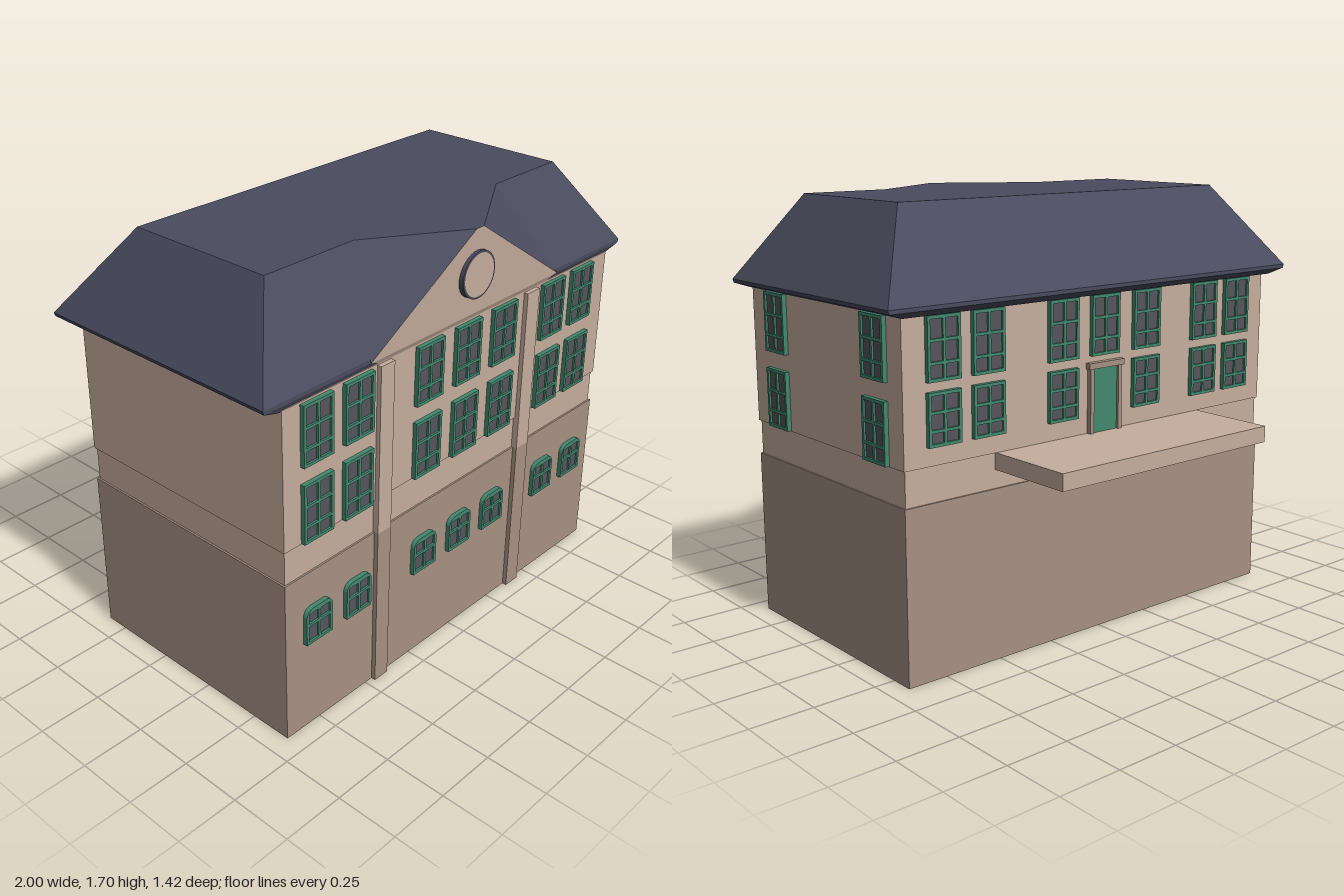
import * as THREE from 'three';

const paint = (color, side = THREE.FrontSide) =>
  new THREE.MeshStandardMaterial({ color, side });

export function createModel() {
  const model = new THREE.Group();
  const plaster = paint(0xc6ae9e, THREE.DoubleSide);
  const stone = paint(0xa69184);
  const slate = paint(0x4a4b5e, THREE.DoubleSide);
  const green = paint(0x43886f);
  const glass = paint(0x55555a);
  const FRONT = 0.67, BACK = -0.345, SIDE = 0.917;

  const add = (name, geometry, material, parent = model) => {
    const mesh = new THREE.Mesh(geometry, material);
    mesh.name = name;
    parent.add(mesh);
    return mesh;
  };
  // Box given by its limits on each axis
  const block = (name, x0, x1, y0, y1, z0, z1, material, parent) => {
    const mesh = add(name, new THREE.BoxGeometry(x1 - x0, y1 - y0, z1 - z0), material, parent);
    mesh.position.set((x0 + x1) / 2, (y0 + y1) / 2, (z0 + z1) / 2);
    return mesh;
  };
  // Flat-shaded faces, each a convex polygon fanned into triangles
  const facets = (polygons) => {
    const pos = [];
    for (const p of polygons)
      for (let i = 1; i < p.length - 1; i++) pos.push(...p[0], ...p[i], ...p[i + 1]);
    const g = new THREE.BufferGeometry();
    g.setAttribute('position', new THREE.Float32BufferAttribute(pos, 3));
    g.computeVertexNormals();
    return g;
  };

  // Walls: basement, recessed band and upper storeys
  block('basement', -SIDE, SIDE, 0, 0.665, BACK, FRONT, stone);
  block('band', -0.91, 0.91, 0.665, 0.8, BACK + 0.007, FRONT - 0.007, plaster);
  block('upperWalls', -SIDE, SIDE, 0.8, 1.34, BACK, FRONT, plaster);

  // Front pilasters
  for (const [x0, x1] of [[-0.465, -0.395], [0.365, 0.44]]) {
    block('pilasterBase', x0, x1, 0, 0.665, FRONT - 0.01, 0.688, stone);
    block('pilaster', x0, x1, 0.665, 1.335, FRONT - 0.01, 0.688, plaster);
  }

  // Hipped roof with flat top, from rectangular sections [x, y, zBack, zFront]
  const ring = ([x, y, zb, zf]) => [[-x, y, zf], [x, y, zf], [x, y, zb], [-x, y, zb]];
  const rings = [
    [0.93, 1.335, -0.372, 0.664],
    [0.995, 1.357, -0.395, 0.673],
    [1, 1.372, -0.395, 0.673],
    [0.788, 1.7, -0.155, 0.47],
  ].map(ring);
  const roofFaces = [[...rings[0]].reverse(), rings[3]];
  for (let r = 0; r < 3; r++)
    for (let i = 0; i < 4; i++) {
      const j = (i + 1) % 4;
      roofFaces.push([rings[r][i], rings[r][j], rings[r + 1][j], rings[r + 1][i]]);
    }
  add('roof', facets(roofFaces), slate);

  // Gable roof running out from the front slope
  const apexL = [0, 1.7, 0.705], apexR = [0.04, 1.7, 0.705];
  const eaveL = [-0.51, 1.36, 0.68], eaveR = [0.56, 1.36, 0.68];
  const valleyL = [-0.37, 1.7, 0.47], valleyR = [0.42, 1.7, 0.47];
  add('gableRoof', facets([
    [valleyL, apexL, apexR, valleyR],
    [valleyL, eaveL, apexL],
    [valleyR, apexR, eaveR],
  ]), slate);
  add('gableWall', facets([
    [eaveL, eaveR, apexR, apexL],
    [[-0.45, 1.335, 0.668], [0.5, 1.335, 0.668], eaveR, eaveL],
  ]), plaster);

  // Round medallion on the gable
  const rim = add('medallionRim', new THREE.CylinderGeometry(0.09, 0.09, 0.026, 32), slate);
  rim.rotation.x = Math.PI / 2;
  rim.position.set(0.02, 1.525, 0.698);
  add('medallionFace', new THREE.CircleGeometry(0.082, 32), plaster).position.set(0.02, 1.525, 0.7125);

  // Window with two columns of panes; rows are relative heights from the bottom
  const outline = (path, x0, y0, x1, y1, cut = 0) => {
    path.moveTo(x0, y0);
    path.lineTo(x1, y0);
    path.lineTo(x1, y1 - cut);
    if (cut) path.quadraticCurveTo(x1 - cut * 0.15, y1 - cut * 0.15, x1 - cut, y1);
    path.lineTo(x0 + cut, y1);
    if (cut) path.quadraticCurveTo(x0 + cut * 0.15, y1 - cut * 0.15, x0, y1 - cut);
    path.closePath();
    return path;
  };
  const windowParts = (w, h, rows, arch) => {
    const edge = 0.012, bar = 0.011;
    const frame = outline(new THREE.Shape(), -w / 2, 0, w / 2, h, arch);
    const total = rows.reduce((a, b) => a + b, 0);
    const free = h - 2 * edge - bar * (rows.length - 1);
    let y = edge;
    rows.forEach((row, i) => {
      const ph = (free * row) / total;
      const top = i === rows.length - 1 ? arch * 0.25 : 0;
      for (const [a, b] of [[-w / 2 + edge, -bar / 2], [bar / 2, w / 2 - edge]])
        frame.holes.push(outline(new THREE.Path(), a, y, b, y + ph - top));
      y += ph + bar;
    });
    const pane = outline(new THREE.Shape(), -w / 2 + 0.006, 0.006, w / 2 - 0.006, h - 0.006, arch);
    return {
      frame: new THREE.ExtrudeGeometry(frame, { depth: 0.018, bevelEnabled: false, curveSegments: 4 }),
      pane: new THREE.ExtrudeGeometry(pane, { depth: 0.01, bevelEnabled: false, curveSegments: 4 }),
    };
  };
  const tall = windowParts(0.142, 0.232, [0.7, 1, 1], 0);
  const short = windowParts(0.142, 0.195, [0.7, 1, 1], 0);
  const arched = windowParts(0.13, 0.15, [1.3, 1], 0.03);
  const placeWindow = (name, parts, x, y, z, turn) => {
    const g = new THREE.Group();
    g.name = name;
    add('frame', parts.frame, green, g);
    add('panes', parts.pane, glass, g);
    g.position.set(x, y, z);
    g.rotation.y = turn;
    model.add(g);
  };

  // Front windows
  for (const x of [-0.765, -0.565, -0.195, 0.02, 0.235, 0.545, 0.74]) {
    placeWindow('frontUpperWindow', tall, x, 1.1, FRONT, 0);
    placeWindow('frontLowerWindow', tall, x, 0.802, FRONT, 0);
  }
  for (const x of [-0.765, -0.56, -0.19, 0.02, 0.23, 0.57, 0.775])
    placeWindow('basementWindow', arched, x, 0.375, FRONT, 0);

  // Windows on the left side only
  for (const z of [0.485, -0.185])
    for (const y of [0.802, 1.1]) placeWindow('sideWindow', tall, SIDE, y, z, Math.PI / 2);

  // Back windows; the door takes the middle of the lower row
  const doorX = -0.01;
  for (const x of [0.75, 0.553, 0.2, doorX, -0.23, -0.556, -0.75]) {
    placeWindow('backUpperWindow', tall, x, 1.1, BACK, Math.PI);
    if (x !== doorX) placeWindow('backLowerWindow', short, x, 0.87, BACK, Math.PI);
  }

  // Back door and its surround
  block('door', doorX - 0.065, doorX + 0.065, 0.8, 1.055, BACK - 0.01, BACK, green);
  for (const s of [-1, 1])
    block('doorJamb', doorX + s * 0.072 - 0.009, doorX + s * 0.072 + 0.009, 0.8, 1.055, BACK - 0.02, BACK, stone);
  block('doorLintel', doorX - 0.09, doorX + 0.09, 1.052, 1.075, BACK - 0.024, BACK, stone);

  // Balcony slab
  block('balcony', -0.54, 0.515, 0.735, 0.8, -0.71, BACK + 0.02, plaster);

  return model;
}
